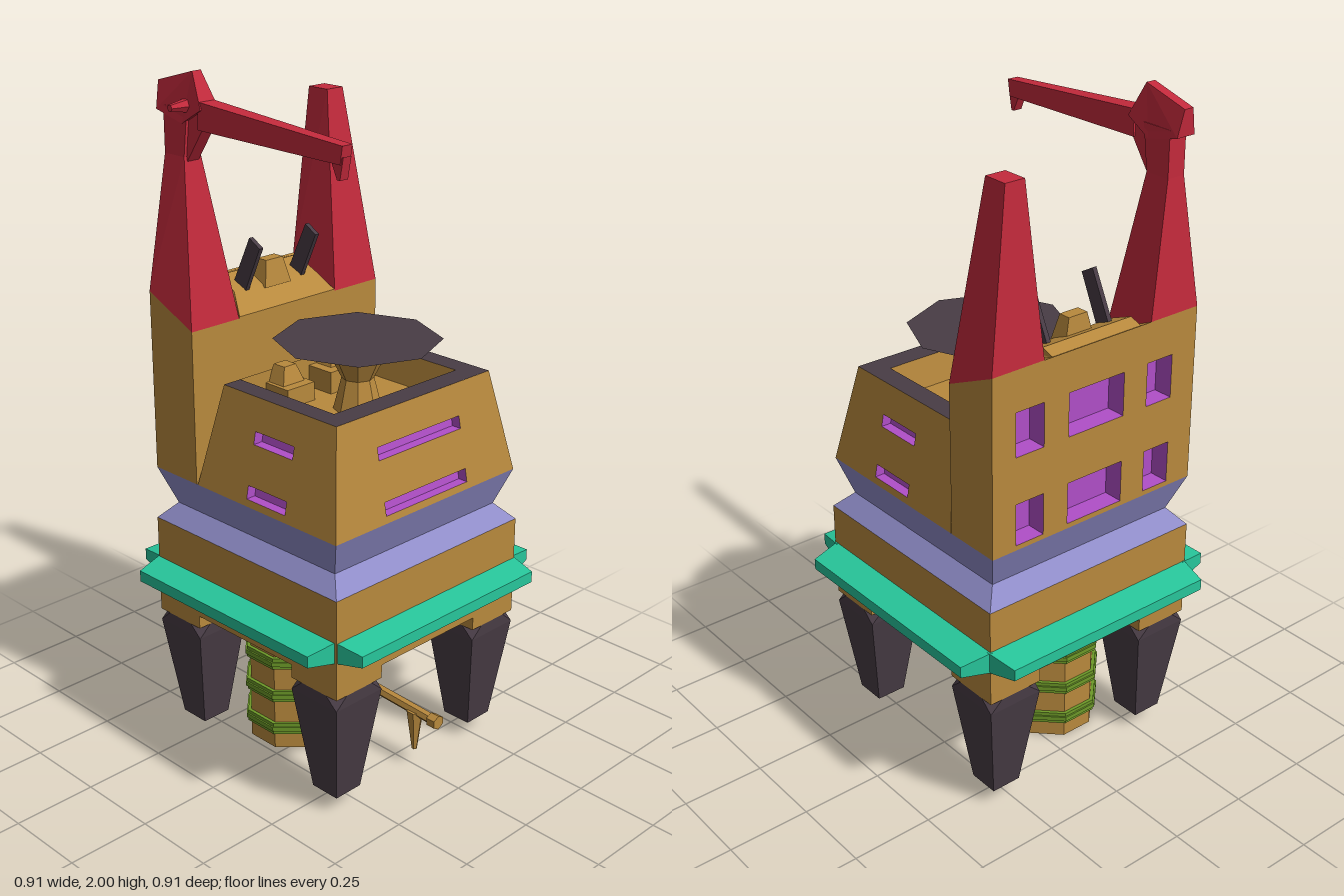
import * as THREE from 'three';
import { ConvexGeometry } from 'three/addons/geometries/ConvexGeometry.js';

const paint = (color) => new THREE.MeshStandardMaterial({ color, flatShading: true });
const TAN = paint(0xb8893d), RED = paint(0xc42a3c), DARK = paint(0x483c45), LILAC = paint(0x8f8cc8);
const TEAL = paint(0x27c69b), PURPLE = paint(0xb04fc8), LIME = paint(0x6d9a28);
const BOX_FACES = ['px', 'nx', 'py', 'ny', 'pz', 'nz'];

export function createModel() {
  const root = new THREE.Group();

  const add = (name, geometry, material, parent = root) => {
    const mesh = new THREE.Mesh(geometry, material);
    mesh.name = name;
    parent.add(mesh);
    return mesh;
  };

  // Unit box without the listed faces; inverted boxes show their inside
  const shell = (skip = [], invert = false) => {
    const g = new THREE.BoxGeometry(1, 1, 1);
    const index = Array.from(g.index.array);
    g.setIndex(index.filter((_, i) => !skip.includes(BOX_FACES[Math.floor(i / 6)])));
    if (invert) g.index.array.reverse();
    return g;
  };

  const move = (g, rule) => {
    const p = g.attributes.position;
    for (let i = 0; i < p.count; i++) p.setXYZ(i, ...rule(p.getX(i), p.getY(i), p.getZ(i)));
    g.computeVertexNormals();
    return g;
  };

  // Block between two rectangles [x0, x1, z0, z1]; a height may be [front, back]
  const block = (low, y0, high, y1, skip, invert) => move(shell(skip, invert), (x, y, z) => {
    const r = y > 0 ? high : low, h = y > 0 ? y1 : y0;
    return [x > 0 ? r[1] : r[0], Array.isArray(h) ? h[z > 0 ? 0 : 1] : h, z > 0 ? r[3] : r[2]];
  });

  const shapeOf = (pts) => new THREE.Shape(pts.map((p) => new THREE.Vector2(...p)));

  // Side profile [z, y] given a width in x that may vary along z
  const profile = (pts, cx, width) => {
    const g = new THREE.ExtrudeGeometry(shapeOf(pts), { depth: 1, bevelEnabled: false });
    g.translate(0, 0, -0.5).rotateY(-Math.PI / 2);
    return move(g, (x, y, z) => [cx + x * width(z, y), y, z]);
  };

  // Leaning wall with recessed windows [u0, u1, v0, v1]
  const panel = (name, outline, windows, lean, depth, position, angle) => {
    const group = new THREE.Group();
    group.name = name;
    group.position.set(...position);
    group.rotation.y = angle;
    root.add(group);
    const tilt = (u, v, w) => [u, v, w - lean * (v - 0.86)];
    const shape = shapeOf(outline);
    for (const [a, b, c, d] of windows) {
      shape.holes.push(new THREE.Path([[a, c], [a, d], [b, d], [b, c]].map((p) => new THREE.Vector2(...p))));
      const pocket = move(shell(['pz'], true), (x, y, z) => tilt(x > 0 ? b : a, y > 0 ? d : c, z > 0 ? 0 : -depth));
      add('windowRecess', pocket, PURPLE, group);
    }
    add('wall', move(new THREE.ShapeGeometry(shape), tilt), TAN, group);
  };

  // Platform base
  const deck = [-0.378, 0.357, -0.36, 0.382];
  add('platform', block(deck, 0.44, deck, 0.7), TAN);

  // Legs with bevelled top corners, each under a cap
  for (const x of [-0.29, 0.268]) for (const z of [0.294, -0.272]) {
    const h = 0.088;
    const cap = [x - h, x + h, z - h, z + h];
    add('legCap', block(cap, 0.4, cap, 0.45), TAN);
    const pts = [];
    for (const sx of [-1, 1]) for (const sz of [-1, 1]) {
      pts.push(new THREE.Vector3(x + sx * 0.047, 0.05, z + sz * 0.047));
      pts.push(new THREE.Vector3(x + sx * h, 0.365, z + sz * h));
      pts.push(new THREE.Vector3(x + sx * h, 0.4, z + sz * 0.048));
      pts.push(new THREE.Vector3(x + sx * 0.048, 0.4, z + sz * h));
    }
    add('leg', new ConvexGeometry(pts), DARK);
  }

  // Fender strip on all four sides
  for (let i = 0; i < 4; i++) {
    const g = block([-0.37, 0.37, -0.033, 0.033], 0.36, [-0.352, 0.352, -0.017, 0.017], 0.455);
    const strip = add('fender', g.rotateX(Math.PI / 2), TEAL);
    strip.rotation.y = i * Math.PI / 2;
    strip.position.set(-0.007, 0.543, 0.006);
  }

  // Pinched collar
  const waist = [-0.335, 0.31, -0.312, 0.333], rim = [-0.374, 0.344, -0.356, 0.376];
  add('collarLower', block(deck, 0.7, waist, 0.75), LILAC);
  add('collarUpper', block(waist, 0.75, rim, 0.86), LILAC);

  // Riser column with bands
  const column = add('riserColumn', new THREE.CylinderGeometry(0.135, 0.135, 0.45, 8), TAN);
  column.position.set(-0.105, 0.225, -0.08);
  column.rotation.y = Math.PI / 8;
  for (const y of [0.07, 0.18, 0.29]) for (const [r, h, mat] of [[0.146, 0.036, LIME], [0.151, 0.014, LIME]]) {
    const band = add('riserBand', new THREE.CylinderGeometry(r, r, h, 8), mat);
    band.position.set(-0.105, y, -0.08);
    band.rotation.y = Math.PI / 8;
  }

  // Bent drain pipe and spout
  const bend = new THREE.CurvePath();
  const pipePts = [[-0.03, 0.45, 0.07], [-0.02, 0.36, 0.08], [0.01, 0.22, 0.09], [0.016, 0.18, 0.13], [0.02, 0.165, 0.39]]
    .map((p) => new THREE.Vector3(...p));
  for (let i = 1; i < pipePts.length; i++) bend.add(new THREE.LineCurve3(pipePts[i - 1], pipePts[i]));
  add('drainPipe', new THREE.TubeGeometry(bend, 24, 0.016, 6), TAN);
  add('drainPipeEnd', new THREE.CylinderGeometry(0.022, 0.022, 0.03, 6).rotateX(Math.PI / 2), TAN).position.set(0.02, 0.165, 0.385);
  add('drainSpout', new THREE.CylinderGeometry(0.026, 0.008, 0.13, 6), TAN).position.set(0.018, 0.105, 0.31);

  // Front house: sloped walls with slots, open top
  const top = [-0.315, 0.288, -0.12, 0.318];
  const rows = [[0.88, 0.918], [1.032, 1.068]];
  const slots = (a, b) => rows.map(([c, d]) => [a, b, c, d]);
  panel('houseFront', [[-0.359, 0.86], [0.359, 0.86], [0.303, 1.16], [-0.3, 1.16]],
    slots(-0.165, 0.16), 0.193, 0.03, [-0.015, 0, 0.376], 0);
  panel('houseLeft', [[-0.376, 0.86], [0.175, 0.86], [0.12, 1.16], [-0.318, 1.16]],
    slots(-0.178, -0.026), 0.187, 0.03, [0.344, 0, 0], Math.PI / 2);
  panel('houseRight', [[-0.175, 0.86], [0.376, 0.86], [0.318, 1.16], [-0.12, 1.16]],
    slots(0.026, 0.178), 0.197, 0.03, [-0.374, 0, 0], -Math.PI / 2);
  add('houseBack', block([-0.374, 0.344, -0.175, 0.376], 0.86, top, 1.16, ['px', 'nx', 'py', 'ny', 'pz']), TAN);

  // Dark parapet around the sunken roof
  const parapet = shapeOf([[-0.315, -0.318], [0.288, -0.318], [0.288, 0.12], [0.225, 0.12],
    [0.225, -0.25], [-0.256, -0.25], [-0.256, 0.12], [-0.315, 0.12]]);
  add('parapet', new THREE.ShapeGeometry(parapet).rotateX(-Math.PI / 2).translate(0, 1.16, 0), DARK);
  add('sunkenRoof', block([-0.24, 0.21, -0.12, 0.235], 1.07, [-0.256, 0.225, -0.12, 0.25], 1.16, ['py'], true), TAN);

  // Roof vents
  for (const [x, y, w] of [[-0.108, 1.125, 0.052], [0.078, 1.135, 0.07]]) {
    const r = [x - w, x + w, -0.155, -0.03];
    add('ventBox', block(r, 1.0, r, y), TAN);
    add('ventCap', block([x - 0.04, x + 0.04, -0.13, -0.06], y, [x - 0.022, x + 0.022, -0.118, -0.075], y + 0.05), TAN);
  }

  // Landing dish: dark octagonal disc on a flared stand
  const dish = new THREE.Group();
  dish.name = 'dish';
  dish.position.set(-0.015, 0, 0.1);
  root.add(dish);
  add('dishTop', new THREE.CircleGeometry(0.236, 8).rotateX(-Math.PI / 2), DARK, dish).position.y = 1.275;
  add('dishUnderside', new THREE.CylinderGeometry(0.236, 0.08, 0.044, 8, 1, true), TAN, dish).position.y = 1.253;
  add('dishNeck', new THREE.CylinderGeometry(0.08, 0.045, 0.07, 8), TAN, dish).position.y = 1.196;
  add('dishStand', new THREE.CylinderGeometry(0.045, 0.07, 0.1, 8), TAN, dish).position.y = 1.115;

  // Rear tower with a windowed back
  const tower = [-0.374, 0.344, -0.356, -0.18];
  add('rearTower', block(tower, 0.86, tower, [1.31, 1.39], ['nz']), TAN);
  const windows = [];
  for (const [c, d] of [[0.875, 1.0], [1.14, 1.27]])
    for (const [a, b] of [[-0.28, -0.185], [-0.1, 0.095], [0.18, 0.272]]) windows.push([a, b, c, d]);
  panel('rearWall', [[-0.359, 0.86], [0.359, 0.86], [0.359, 1.39], [-0.359, 1.39]],
    windows, 0, 0.06, [-0.015, 0, -0.356], Math.PI);

  // Roof hump, hatch and antennas
  add('roofHump', profile([[-0.356, 1.385], [-0.356, 1.3], [-0.18, 1.3], [-0.18, 1.315], [-0.235, 1.37], [-0.31, 1.4]],
    -0.015, (z, y) => (y > 1.36 ? 0.31 : 0.37)), TAN);
  add('roofHatch', block([-0.065, 0.035, -0.28, -0.22], 1.36, [-0.047, 0.017, -0.272, -0.235], 1.435), TAN);
  for (const x of [-0.125, 0.09])
    add('antenna', profile([[-0.28, 1.38], [-0.235, 1.355], [-0.168, 1.498], [-0.21, 1.522]], x, () => 0.014), DARK);

  // Red masts
  add('plainMast', block([0.172, 0.344, -0.356, -0.18], [1.31, 1.39], [0.226, 0.288, -0.34, -0.265], 1.88), RED);
  const neck = [-0.316, -0.258, -0.337, -0.257];
  add('craneMast', block([-0.374, -0.202, -0.356, -0.18], [1.31, 1.39], neck, 1.77), RED);
  add('craneNeck', block(neck, 1.77, [-0.316, -0.258, -0.337, -0.24], 1.9), RED);
  add('craneBrace', profile([[-0.26, 1.75], [-0.19, 1.85], [-0.19, 1.9], [-0.26, 1.9]], -0.287, () => 0.04), RED);

  // Crane head, boom, hook and side pin
  add('craneHead', profile([[-0.23, 2.0], [-0.372, 1.96], [-0.365, 1.885], [-0.26, 1.86], [-0.182, 1.905]],
    -0.287, (z, y) => (y > 1.94 ? 0.03 : 0.062)), RED);
  add('craneBoom', profile([[-0.2, 1.925], [-0.2, 1.85], [0.32, 1.84], [0.328, 1.888]], -0.287, (z) => 0.046 - 0.035 * z), RED);
  add('boomHook', profile([[0.328, 1.86], [0.285, 1.845], [0.306, 1.8], [0.316, 1.8]], -0.287, () => 0.028), RED);
  add('headPin', new THREE.CylinderGeometry(0.022, 0.01, 0.07, 6).rotateZ(-Math.PI / 2), RED).position.set(-0.33, 1.908, -0.25);

  return root;
}
